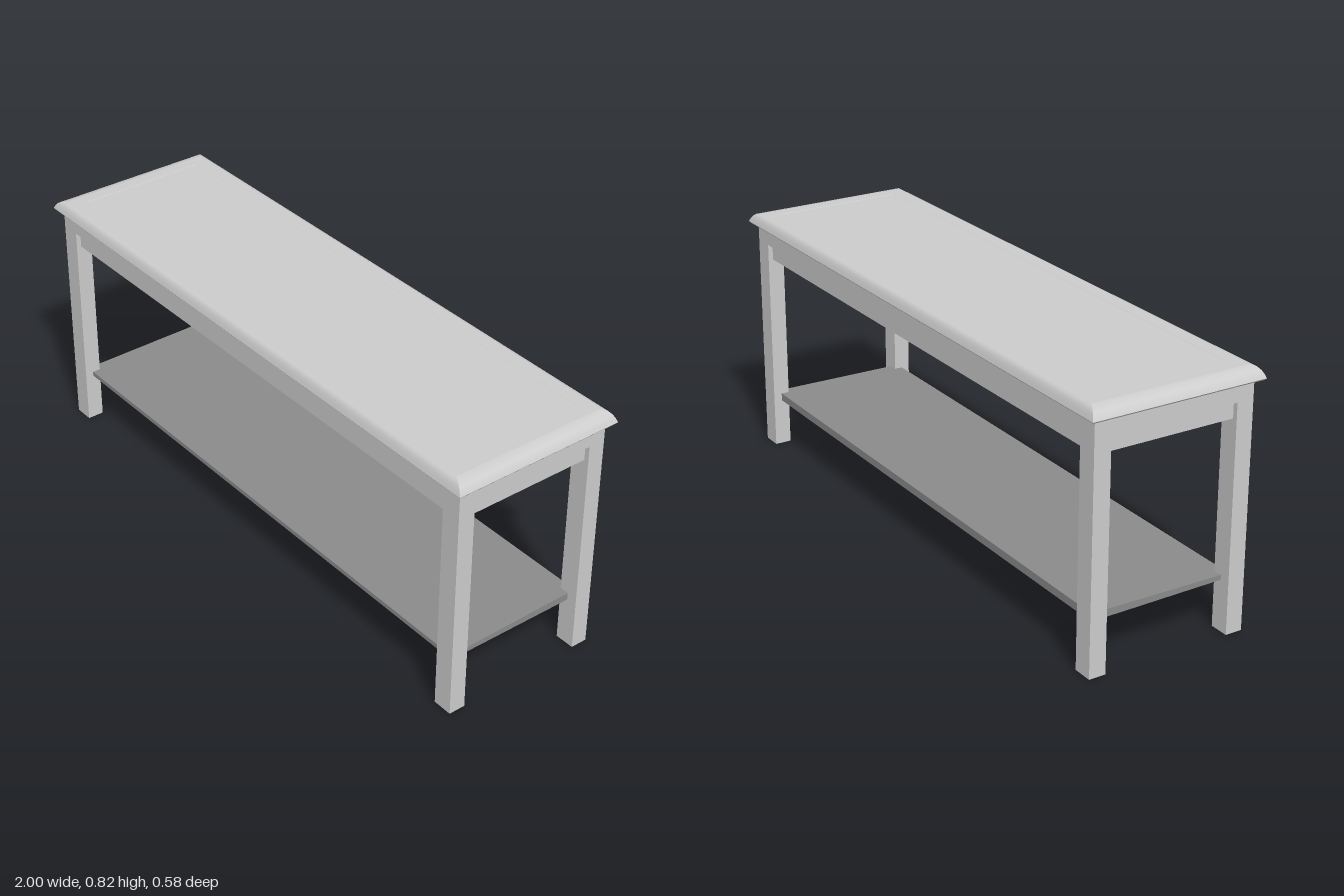
import * as THREE from 'three';

const HX = 1, HZ = 0.288; // half size of the top
const TOP_BASE = 0.778;

export function createModel() {
  const table = new THREE.Group();
  table.name = 'consoleTable';
  const paleGrey = new THREE.MeshStandardMaterial({ color: 0xcccccc });
  paleGrey.name = 'paleGrey';
  const darkGrey = new THREE.MeshStandardMaterial({ color: 0x8b8b8b });
  darkGrey.name = 'darkGrey';

  const add = (name, geometry, material = paleGrey) => {
    const mesh = new THREE.Mesh(geometry, material);
    mesh.name = name;
    table.add(mesh);
    return mesh;
  };
  const box = (name, x0, x1, y0, y1, z0, z1) =>
    add(name, new THREE.BoxGeometry(x1 - x0, y1 - y0, z1 - z0))
      .position.set((x0 + x1) / 2, (y0 + y1) / 2, (z0 + z1) / 2);

  // Moulding around the top: mitred at the corners, smooth along the profile.
  // Each profile point is [inset in x, inset in z, height].
  const corners = [[-1, 1], [1, 1], [1, -1], [-1, -1]];
  const moulding = (name, profile) => {
    const positions = [], index = [];
    corners.forEach((a, side) => {
      const b = corners[(side + 1) % 4];
      const start = positions.length / 3;
      profile.forEach(([dx, dz, y], i) => {
        for (const [sx, sz] of [a, b]) positions.push(sx * (HX - dx), y, sz * (HZ - dz));
        if (i === 0) return;
        const p = start + (i - 1) * 2;
        index.push(p, p + 1, p + 3, p, p + 3, p + 2);
      });
    });
    const geometry = new THREE.BufferGeometry();
    geometry.setAttribute('position', new THREE.Float32BufferAttribute(positions, 3));
    geometry.setIndex(index);
    geometry.computeVertexNormals();
    add(name, geometry);
  };
  moulding('topLowerLip', [[0.004, 0.004, TOP_BASE], [0, 0, 0.783]]);
  moulding('topRoundedEdge', [
    [0, 0, 0.783], [0.006, 0.004, 0.794], [0.015, 0.009, 0.805],
    [0.028, 0.016, 0.813], [0.045, 0.025, 0.816],
  ]);
  moulding('topBorder', [[0.045, 0.025, 0.816], [0.085, 0.068, 0.816]]);
  moulding('panelStep', [[0.085, 0.068, 0.816], [0.086, 0.069, 0.815]]);

  // Inset panel and underside of the top
  const panel = add('topPanel', new THREE.PlaneGeometry(2 * (HX - 0.086), 2 * (HZ - 0.069)));
  panel.rotation.x = -Math.PI / 2;
  panel.position.y = 0.815;
  const underside = add('topUnderside', new THREE.PlaneGeometry(2 * (HX - 0.004), 2 * (HZ - 0.004)));
  underside.rotation.x = Math.PI / 2;
  underside.position.y = TOP_BASE;

  // Legs, with upper rails flush to them and thinner lower rails set back
  const outX = 0.975, inX = 0.91, outZ = 0.265, inZ = 0.21, step = 0.016;
  const span = (s, a, b) => (s > 0 ? [a, b] : [-b, -a]);
  for (const s of [1, -1]) {
    const side = s > 0 ? 'left' : 'right';
    const face = s > 0 ? 'front' : 'back';
    for (const t of [1, -1])
      box(`${side}${t > 0 ? 'Front' : 'Back'}Leg`, ...span(s, inX, outX), 0, TOP_BASE, ...span(t, inZ, outZ));
    box(`${face}UpperRail`, -inX, inX, 0.72, TOP_BASE, ...span(s, inZ, outZ));
    box(`${face}LowerRail`, -inX, inX, 0.667, 0.72, ...span(s, inZ + step, outZ - step));
    box(`${side}UpperRail`, ...span(s, inX, outX), 0.72, TOP_BASE, -inZ, inZ);
    box(`${side}LowerRail`, ...span(s, inX + step, outX - step), 0.667, 0.72, -inZ, inZ);
  }

  // Shelf let into the legs, slightly thicker towards the back
  const section = new THREE.Shape([
    [-0.237, 0.162], [0.237, 0.157], [0.237, 0.182], [-0.237, 0.177],
  ].map(([x, y]) => new THREE.Vector2(x, y)));
  const shelf = new THREE.ExtrudeGeometry(section, { depth: 1.88, bevelEnabled: false });
  shelf.translate(0, 0, -0.94).rotateY(Math.PI / 2);
  add('shelf', shelf, darkGrey);

  return table;
}
